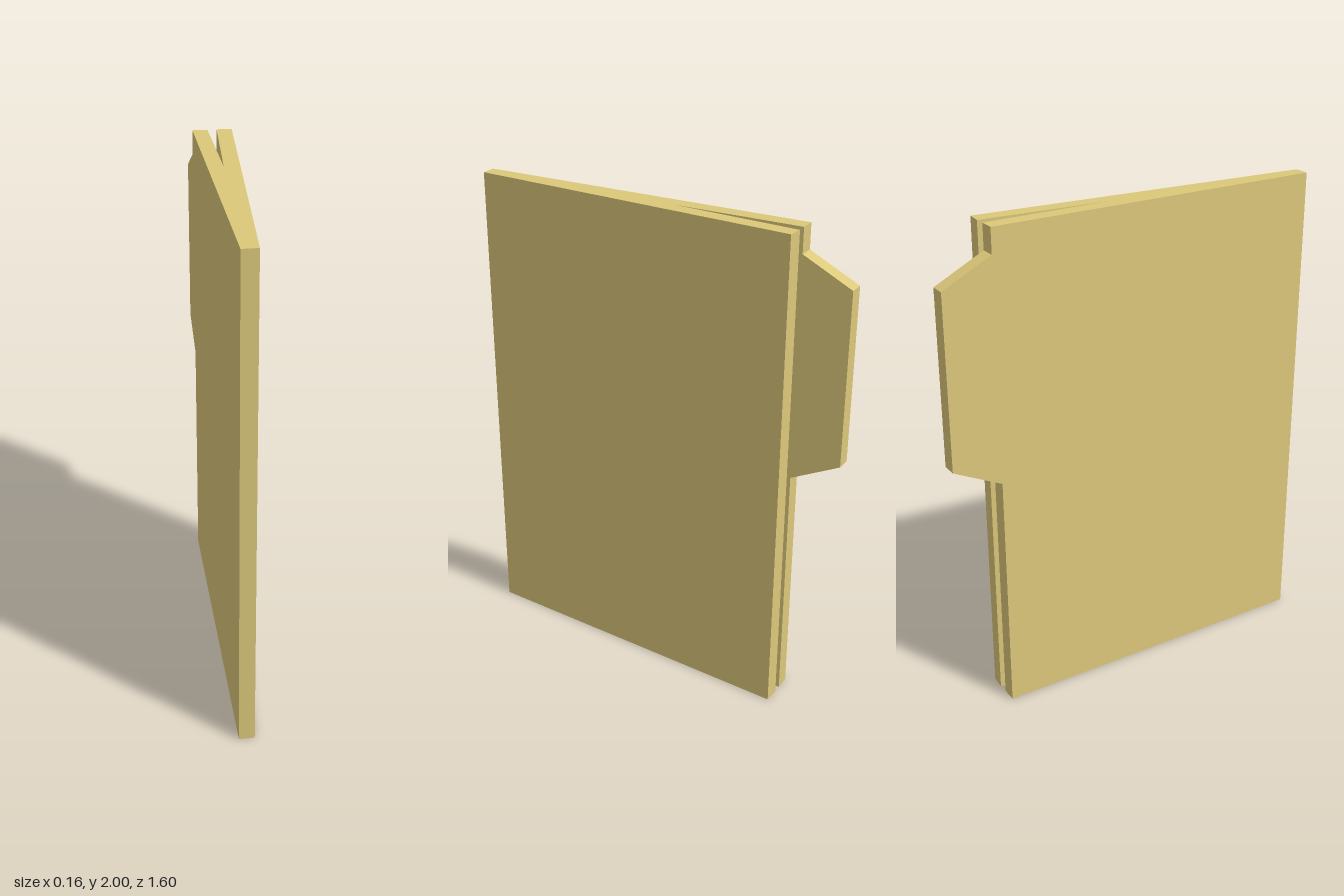
import * as THREE from 'three';

const material = new THREE.MeshStandardMaterial({ color: 0xdcc87a, flatShading: true });

// Flat outline given as [a, b] pairs, extruded to a solid slab
function slab(points, depth) {
  const shape = new THREE.Shape(points.map(([a, b]) => new THREE.Vector2(a, b)));
  return new THREE.ExtrudeGeometry(shape, { depth, bevelEnabled: false });
}

export function createModel() {
  const group = new THREE.Group();
  group.name = 'fileFolder';
  const left = -0.082, inner = -0.02; // faces of the upright cover

  // Two covers joined at the front fold, opening toward the back: plan outline as [x, z]
  const plan = [
    [left, 0.8], [inner, 0.8], [0.08, -0.597], [0.018, -0.602],
    [inner, -0.08], [inner, -0.6], [left, -0.6],
  ];
  const covers = new THREE.Mesh(slab(plan.map(([x, z]) => [x, -z]), 2), material);
  covers.geometry.rotateX(-Math.PI / 2);
  covers.name = 'foldedCovers';
  group.add(covers);

  // Tapered index tab on the upright cover: side outline as [z, y]
  const side = [[-0.6, 1], [-0.6, 1.9], [-0.8, 1.8], [-0.8, 1.1]];
  const tab = new THREE.Mesh(slab(side, inner - left), material);
  tab.geometry.rotateY(-Math.PI / 2).translate(inner, 0, 0);
  tab.name = 'indexTab';
  group.add(tab);

  return group;
}
